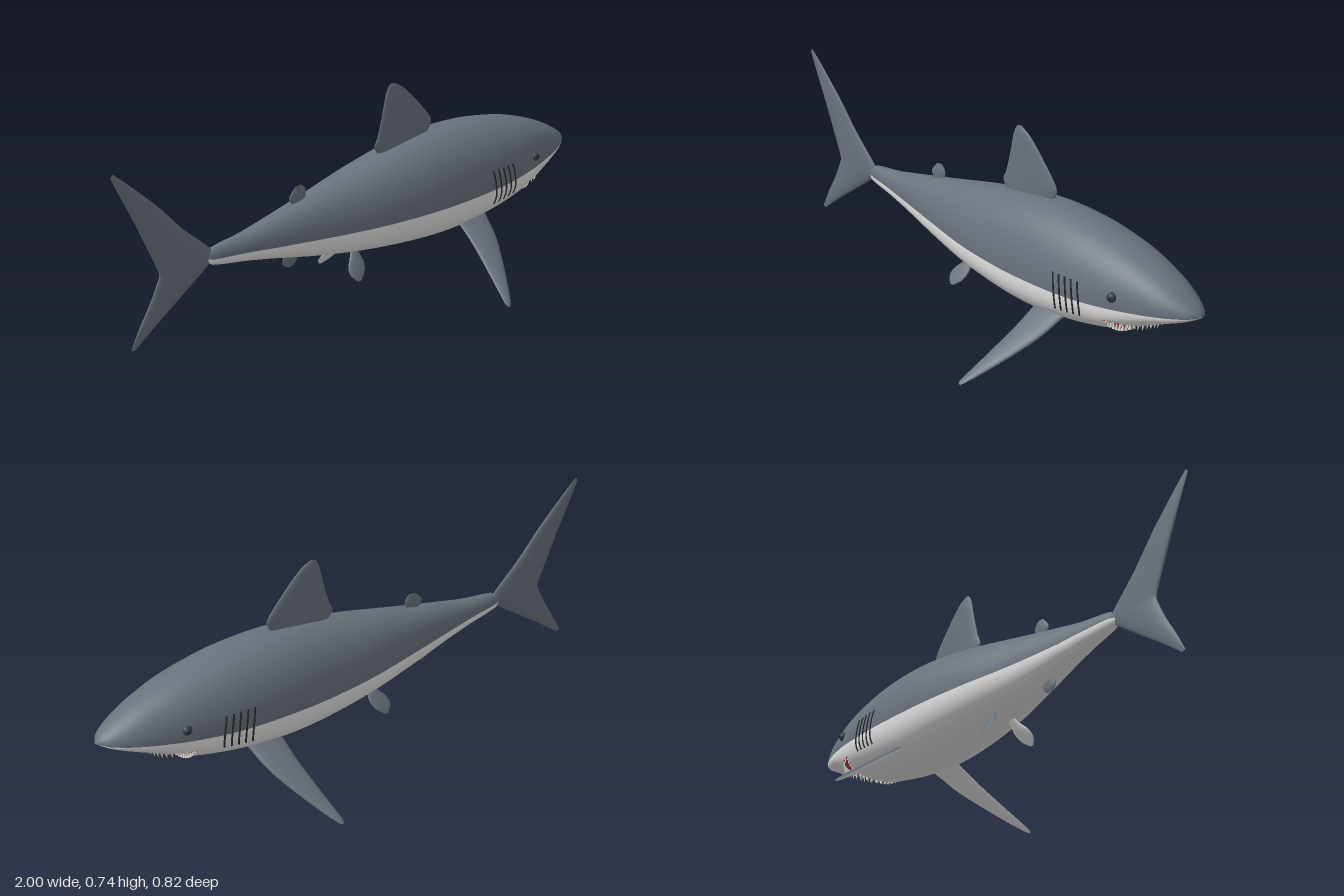
import * as THREE from 'three';
import { ParametricGeometry } from 'three/addons/geometries/ParametricGeometry.js';

const paint = (name, color) => Object.assign(new THREE.MeshStandardMaterial({ color }), { name });

// Body stations: x, top, colour split, bottom, half width
const BODY = [
  [-0.65, 0.35, 0.338, 0.328, 0.004], [-0.63, 0.368, 0.337, 0.313, 0.02],
  [-0.5, 0.385, 0.33, 0.29, 0.04], [-0.4, 0.405, 0.322, 0.27, 0.055],
  [-0.2, 0.447, 0.312, 0.226, 0.092], [0, 0.49, 0.308, 0.195, 0.132],
  [0.2, 0.525, 0.308, 0.176, 0.157], [0.35, 0.538, 0.31, 0.172, 0.164],
  [0.5, 0.533, 0.315, 0.187, 0.163], [0.6, 0.52, 0.32, 0.203, 0.155],
  [0.72, 0.495, 0.33, 0.232, 0.137], [0.83, 0.458, 0.34, 0.283, 0.108],
  [0.9, 0.426, 0.347, 0.312, 0.083], [0.95, 0.397, 0.352, 0.332, 0.056],
  [0.98, 0.375, 0.355, 0.347, 0.031], [0.996, 0.357, 0.356, 0.355, 0.001],
];
const X0 = BODY[0][0], X1 = BODY[BODY.length - 1][0];

// Smooth interpolation of table rows keyed by their first column
function sample(table, x) {
  const n = table.length - 1;
  let i = 0;
  while (i < n - 1 && x > table[i + 1][0]) i++;
  const a = table[i], b = table[i + 1], h = b[0] - a[0], t = (x - a[0]) / h;
  const slope = (k, c) => {
    const p = table[Math.max(k - 1, 0)], q = table[Math.min(k + 1, n)];
    return (q[c] - p[c]) / (q[0] - p[0]);
  };
  return a.map((_, c) => {
    const t2 = t * t, t3 = t2 * t;
    return (2 * t3 - 3 * t2 + 1) * a[c] + (t3 - 2 * t2 + t) * h * slope(i, c)
      + (3 * t2 - 2 * t3) * b[c] + (t3 - t2) * h * slope(i + 1, c);
  });
}

// Point on the skin; angle 0 is the +z side, PI / 2 the back, -PI / 2 the belly
function skin(x, angle) {
  const [, top, mid, bottom, w] = sample(BODY, x);
  const c = Math.cos(angle), s = Math.sin(angle), e = s > 0 ? 0.95 : 0.85;
  const y = Math.pow(Math.abs(s), e) * (s > 0 ? top - mid : bottom - mid);
  return new THREE.Vector3(x, mid + y, w * Math.sign(c) * Math.pow(Math.abs(c), e));
}

// Mouth lips: v runs round the belly from the -z side to the +z side
const gape = (v) => Math.sqrt(Math.max(0, Math.sin(Math.PI * (v - 0.125) / 0.75))) * (v > 0.125 && v < 0.875);
const backLip = (v) => 0.7 + 0.02 * gape(v);
const frontLip = (v) => 0.7 + 0.13 * gape(v);
const belly = (x, v) => skin(x, Math.PI * (1 + v));

export function createModel() {
  const model = new THREE.Group();
  model.name = 'shark';
  const grey = paint('slate grey', 0x69717b);
  const white = paint('belly white', 0xe2e2e2);
  const red = paint('mouth red', 0xa8323f);
  const dark = paint('gill black', 0x24272a);
  const eyeGrey = paint('eye grey', 0x3a3f45);
  const ivory = paint('tooth ivory', 0xf2f0ea);

  const add = (name, geometry, material, parent = model) => {
    const mesh = new THREE.Mesh(geometry, material);
    mesh.name = name;
    parent.add(mesh);
    return mesh;
  };
  const surface = (name, fn, nu, nv, material, parent) =>
    add(name, new ParametricGeometry((u, v, p) => p.copy(fn(u, v)), nu, nv), material, parent);

  // Body: dark back, pale belly behind the mouth, pale snout, red mouth pocket
  const ease = (u) => Math.sin(u * Math.PI / 2);
  surface('back', (u, v) => skin(X0 + (X1 - X0) * ease(u), Math.PI * v), 80, 48, grey);
  surface('belly', (u, v) => belly(X0 + (backLip(v) - X0) * u, v), 60, 64, white);
  surface('snout', (u, v) => belly(frontLip(v) + (X1 - frontLip(v)) * ease(u), v), 28, 64, white);
  surface('mouth', (u, k) => {
    const v = 0.125 + 0.75 * k;
    const p = belly(backLip(v), v).lerp(belly(frontLip(v), v), u);
    const depth = gape(v) * Math.sqrt(Math.max(0, Math.sin(Math.PI * u)));
    p.x -= 0.03 * depth;
    p.y += 0.07 * depth;
    p.z *= 1 - 0.1 * depth;
    return p;
  }, 20, 48, red);

  // Teeth along both lips
  const teeth = new THREE.Group();
  teeth.name = 'teeth';
  model.add(teeth);
  const count = 20;
  for (let i = 0; i < count; i++) {
    const v = 0.125 + 0.75 * (i + 0.5) / count;
    const size = 0.6 + 0.4 * gape(v);
    for (const upper of [true, false]) {
      const tooth = add(upper ? 'upperTooth' : 'lowerTooth', new THREE.ConeGeometry(0.006, 0.03, 6), ivory, teeth);
      tooth.position.copy(belly(upper ? frontLip(v) : backLip(v), v));
      tooth.position.z *= 0.97;
      tooth.position.x += upper ? -0.005 : 0.002;
      tooth.position.y += upper ? -0.007 : 0.007;
      tooth.rotation.z = upper ? Math.PI - 0.2 : -0.1;
      tooth.scale.setScalar(size);
    }
  }

  // Eyes and gill slits on both sides
  for (const side of [1, -1]) {
    const eye = add('eye', new THREE.SphereGeometry(0.017, 20, 14), eyeGrey);
    const at = skin(0.735, 0.24);
    eye.position.set(at.x, 0.372, side * (at.z - 0.003));
    const pupil = add('pupil', new THREE.SphereGeometry(0.009, 14, 10), dark);
    pupil.position.set(at.x + 0.002, 0.373, side * (at.z + 0.007));
    for (let i = 0; i < 5; i++) {
      const points = [];
      for (let k = 0; k <= 8; k++) {
        const t = k / 8;
        const p = skin(0.495 + i * 0.026 + 0.014 * Math.sin(t * Math.PI * 0.75), 0.31 - 0.7 * t);
        p.z *= side;
        points.push(p);
      }
      add('gillSlit', new THREE.TubeGeometry(new THREE.CatmullRomCurve3(points), 20, 0.0035, 6), dark);
    }
  }

  // Fin from rows of [lead x, lead y, trail x, trail y, half thickness], rising in y
  function fin(name, rows, frontPaint, backPaint) {
    const table = rows.map((row, i) => [i, ...row]);
    const group = new THREE.Group();
    group.name = name;
    model.add(group);
    for (const side of [1, -1]) {
      surface(name + 'Face', (u, v) => {
        const [, lx, ly, tx, ty, thick] = sample(table, u * (rows.length - 1));
        const a = Math.PI * (side > 0 ? v : 1 - v), k = (1 - Math.cos(a)) / 2;
        return new THREE.Vector3(lx + (tx - lx) * k, ly + (ty - ly) * k, side * thick * Math.sin(a));
      }, rows.length * 5, 14, side > 0 ? frontPaint : backPaint, group);
    }
    return group;
  }

  fin('dorsalFin', [
    [0.3, 0.51, 0.09, 0.51, 0.012], [0.335, 0.55, 0.077, 0.535, 0.012], [0.335, 0.585, 0.092, 0.57, 0.012],
    [0.275, 0.655, 0.112, 0.64, 0.011], [0.215, 0.715, 0.127, 0.705, 0.008],
    [0.18, 0.738, 0.14, 0.735, 0.004], [0.162, 0.746, 0.152, 0.745, 0.001],
  ], grey, grey);
  fin('tailFin', [
    [-0.938, 0.106, -0.952, 0.112, 0.001], [-0.85, 0.17, -0.915, 0.18, 0.007], [-0.74, 0.245, -0.872, 0.25, 0.011],
    [-0.635, 0.318, -0.842, 0.31, 0.013], [-0.615, 0.345, -0.834, 0.335, 0.013],
    [-0.635, 0.375, -0.84, 0.36, 0.013], [-0.735, 0.467, -0.868, 0.425, 0.012],
    [-0.825, 0.565, -0.91, 0.52, 0.01], [-0.93, 0.665, -0.963, 0.63, 0.006], [-0.99, 0.718, -0.999, 0.706, 0.001],
  ], grey, grey);
  fin('rearDorsalFin', [
    [-0.235, 0.41, -0.27, 0.41, 0.007], [-0.23, 0.44, -0.296, 0.436, 0.007],
    [-0.23, 0.468, -0.298, 0.455, 0.006], [-0.248, 0.488, -0.272, 0.485, 0.001],
  ], grey, grey);
  fin('analFin', [
    [-0.295, 0.205, -0.313, 0.207, 0.001], [-0.272, 0.222, -0.331, 0.222, 0.006],
    [-0.268, 0.245, -0.328, 0.245, 0.007], [-0.28, 0.275, -0.31, 0.275, 0.007],
  ], grey, grey);

  // Paired fins slope down and out, dark above and pale below
  for (const side of [1, -1]) {
    const faces = side > 0 ? [white, grey] : [grey, white];
    const pectoral = fin('pectoralFin', [
      [0.52, -0.04, 0.365, -0.04, 0.014], [0.5, 0, 0.37, 0, 0.014], [0.477, 0.09, 0.365, 0.09, 0.013],
      [0.437, 0.18, 0.352, 0.18, 0.011], [0.385, 0.28, 0.335, 0.28, 0.008],
      [0.353, 0.335, 0.325, 0.338, 0.004], [0.338, 0.355, 0.328, 0.355, 0.001],
    ], ...faces);
    pectoral.position.set(0, 0.21, side * 0.12);
    pectoral.rotation.x = side * 2.19;
    const pelvic = fin('pelvicFin', [
      [-0.04, -0.035, -0.06, -0.035, 0.008], [-0.033, 0, -0.078, 0, 0.008], [-0.03, 0.03, -0.1, 0.03, 0.007],
      [-0.042, 0.06, -0.105, 0.06, 0.005], [-0.07, 0.086, -0.086, 0.086, 0.001],
    ], ...faces);
    pelvic.position.set(0, 0.19, side * 0.05);
    pelvic.rotation.x = side * 2.52;
  }

  return model;
}
